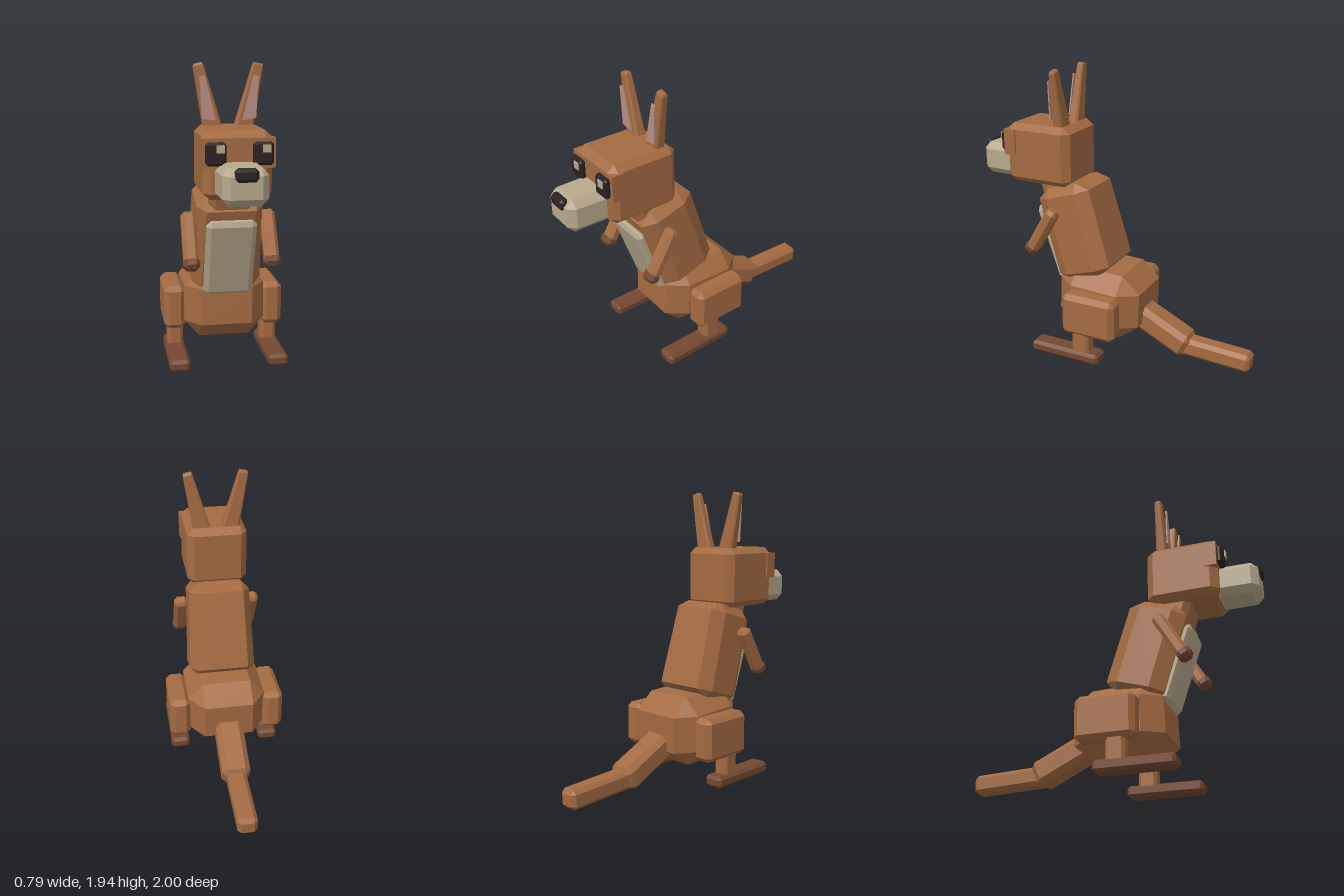
import * as THREE from 'three';
import { ConvexGeometry } from 'three/addons/geometries/ConvexGeometry.js';

const mat = (name, color) => {
  const m = new THREE.MeshStandardMaterial({ color });
  m.name = name;
  return m;
};

// Box with bevelled edges; c is the bevel (one number or per axis).
// taperX / taperZ scale the top (y+) end, frontX scales the front (z+) end.
function bevelBox([w, h, d], c, { taperX = 1, taperZ = 1, frontX = 1 } = {}) {
  const [cx, cy, cz] = Array.isArray(c) ? c : [c, c, c];
  const pts = [];
  for (const sx of [-1, 1]) for (const sy of [-1, 1]) for (const sz of [-1, 1]) {
    const x = w / 2, y = h / 2, z = d / 2;
    pts.push(
      new THREE.Vector3(sx * x, sy * (y - cy), sz * (z - cz)),
      new THREE.Vector3(sx * (x - cx), sy * y, sz * (z - cz)),
      new THREE.Vector3(sx * (x - cx), sy * (y - cy), sz * z));
  }
  for (const p of pts) {
    const t = p.y / h + 0.5, f = p.z / d + 0.5;
    p.x *= (1 + (taperX - 1) * t) * (1 + (frontX - 1) * f);
    p.z *= 1 + (taperZ - 1) * t;
  }
  return new ConvexGeometry(pts);
}

export function createModel() {
  const root = new THREE.Group();
  root.name = 'kangaroo';
  const fur = mat('brown fur', 0xa46b42);
  const dark = mat('dark brown paws', 0x744830);
  const cream = mat('cream', 0xb8a98d);
  const pink = mat('inner ear pink', 0xba8e84);
  const black = mat('eye black', 0x2b2022);

  const add = (name, material, geo, pos, rx = 0, rz = 0) => {
    const m = new THREE.Mesh(geo, material);
    m.name = name;
    m.position.set(...pos);
    m.rotation.set(rx, 0, rz);
    root.add(m);
    return m;
  };

  // Body
  add('pelvis', fur, bevelBox([0.53, 0.46, 0.6], [0.1, 0.11, 0.13]), [0, 0.38, 0.05], -0.04);
  add('torso', fur, bevelBox([0.46, 0.66, 0.4], [0.06, 0.06, 0.09], { taperX: 0.9 }), [0, 0.852, 0.24], 0.295);
  add('bellyPatch', cream, bevelBox([0.315, 0.54, 0.06], [0.03, 0.03, 0.02]), [0, 0.74, 0.43], 0.33);
  add('neck', fur, bevelBox([0.28, 0.26, 0.24], 0.04), [0, 1.14, 0.4], 0.3);

  // Head
  add('head', fur, bevelBox([0.41, 0.405, 0.48], [0.045, 0.04, 0.05]), [0, 1.367, 0.495]);
  add('muzzle', cream, bevelBox([0.28, 0.22, 0.3], 0.045, { frontX: 0.95 }), [0, 1.282, 0.832]);
  add('nose', black, bevelBox([0.135, 0.08, 0.06], 0.02), [0, 1.353, 0.97]);

  // Tail
  add('tailBase', fur, bevelBox([0.19, 0.17, 0.5], 0.035), [0, 0.222, -0.335], -0.45);
  add('tailTip', fur, bevelBox([0.13, 0.125, 0.5], 0.025), [0, 0.108, -0.75], -0.05);

  for (const s of [1, -1]) {
    const side = s > 0 ? 'left' : 'right';

    // Face
    add(side + 'EyeSocket', fur, new THREE.BoxGeometry(0.145, 0.175, 0.085), [s * 0.1425, 1.442, 0.694]);
    add(side + 'Eye', black, bevelBox([0.12, 0.135, 0.045], 0.015), [s * 0.138, 1.442, 0.752]);
    add(side + 'EyeGlint', cream, new THREE.BoxGeometry(0.046, 0.046, 0.009), [s * 0.134 + 0.02, 1.473, 0.78]);

    // Ears
    add(side + 'Ear', fur, bevelBox([0.12, 0.42, 0.075], 0.013, { taperX: 0.52, taperZ: 0.6 }),
      [s * 0.14, 1.738, 0.352], 0, -s * 0.227);
    const inner = new THREE.Shape([[0.082, 1.6], [0.167, 1.612], [0.181, 1.865], [0.15, 1.873]]
      .map(([x, y]) => new THREE.Vector2(s * x, y)));
    add(side + 'InnerEar', pink,
      new THREE.ExtrudeGeometry(inner, { depth: 0.009, bevelEnabled: false }), [0, 0, 0.396]);

    // Arms
    add(side + 'Arm', fur, bevelBox([0.095, 0.36, 0.085], 0.022), [s * 0.252, 0.865, 0.43], -0.53);
    add(side + 'Hand', dark, bevelBox([0.105, 0.08, 0.095], 0.025), [s * 0.252, 0.733, 0.513], -0.53);

    // Legs
    add(side + 'Thigh', fur, bevelBox([0.14, 0.29, 0.39], 0.032), [s * 0.325, 0.35, 0.03]);
    add(side + 'Shin', fur, bevelBox([0.105, 0.22, 0.125], 0.02), [s * 0.318, 0.15, 0.095]);
    add(side + 'Foot', dark, bevelBox([0.132, 0.078, 0.515], 0.02), [s * 0.32, 0.044, 0.213]);
  }
  return root;
}
